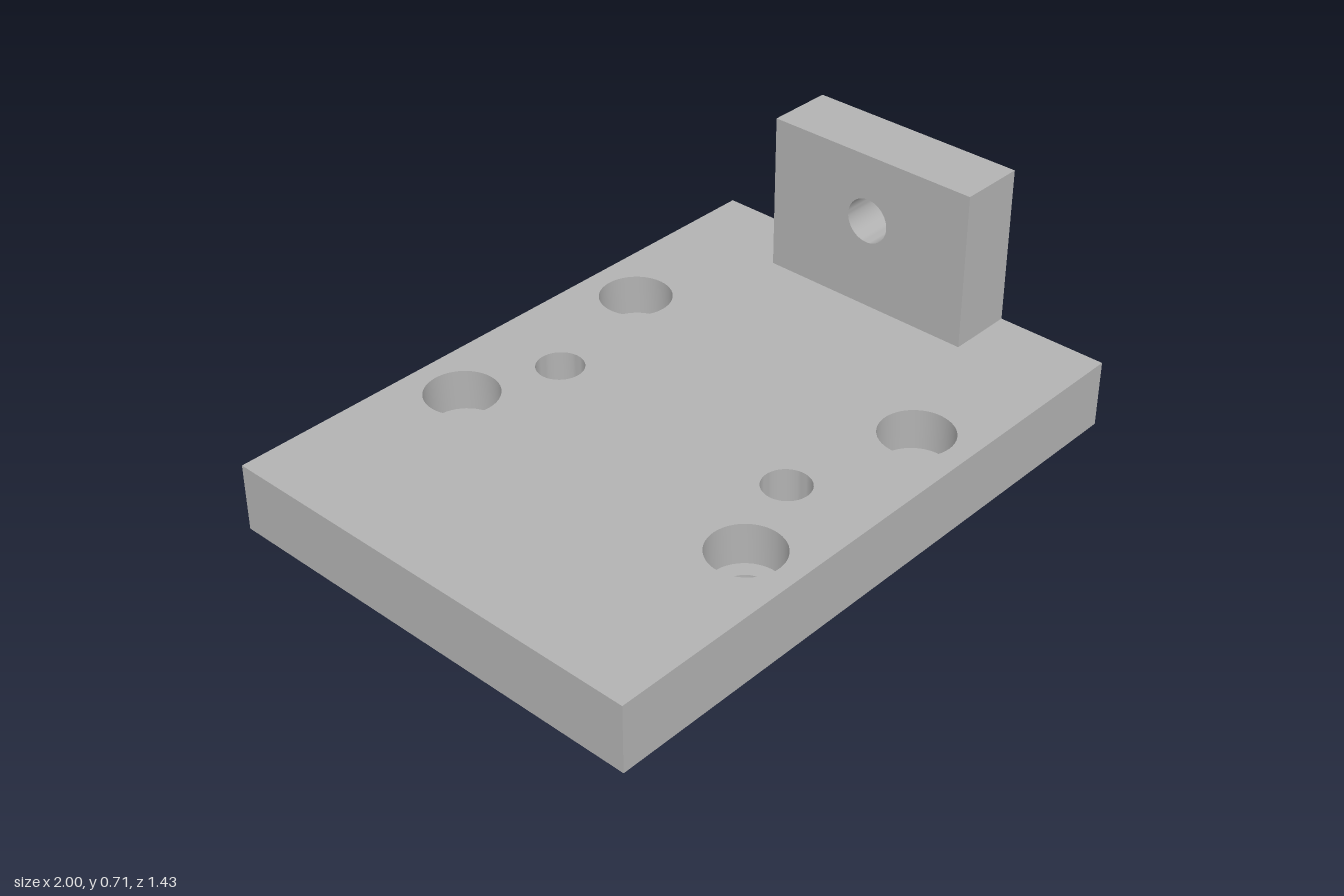
import * as THREE from 'three';
import { toCreasedNormals } from 'three/addons/utils/BufferGeometryUtils.js';

// Plate and lug sizes
const HALF_X = 1, HALF_Z = 0.714, THICK = 0.214;
const LUG_X = 0.786, LUG_HALF_Z = 0.357, LUG_TOP = 0.714;
// Hole sizes; circles in shapes and lathes both get 48 sides
const BOLT_R = 0.0625, BORE_R = 0.112, BORE_DEPTH = 0.13;
const PIN_R = 0.0725, PIN_DEPTH = 0.143, LUG_HOLE_R = 0.0715;
const SIDES = 48;

const boltSpots = [[-0.357, -0.536], [0.357, -0.536], [-0.357, 0.536], [0.357, 0.536]];
const pinSpots = [[-0.071, -0.429], [-0.071, 0.429]];

function addHole(shape, x, y, r) {
  shape.holes.push(new THREE.Path().absarc(x, y, r, 0, Math.PI * 2, true));
}

function rectangle(x0, y0, x1, y1) {
  return new THREE.Shape([[x0, y0], [x1, y0], [x1, y1], [x0, y1]].map(p => new THREE.Vector2(...p)));
}

// Profile runs downwards so the walls face into the hole
function holeLining(profile) {
  const points = profile.map(p => new THREE.Vector2(...p));
  return toCreasedNormals(new THREE.LatheGeometry(points, SIDES), 0.5);
}

export function createModel() {
  const group = new THREE.Group();
  const metal = new THREE.MeshStandardMaterial({ color: 0xb2b2b2 });
  metal.name = 'grey metal';

  function add(name, geometry, x = 0, y = 0, z = 0) {
    const mesh = new THREE.Mesh(geometry, metal);
    mesh.name = name;
    mesh.position.set(x, y, z);
    group.add(mesh);
    return mesh;
  }

  // Plate top with counterbores and pin holes, plate bottom with bolt holes
  const top = rectangle(-HALF_X, -HALF_Z, HALF_X, HALF_Z);
  const bottom = rectangle(-HALF_X, -HALF_Z, HALF_X, HALF_Z);
  for (const [x, z] of boltSpots) {
    addHole(top, x, -z, BORE_R);
    addHole(bottom, x, z, BOLT_R);
  }
  for (const [x, z] of pinSpots) addHole(top, x, -z, PIN_R);
  add('plateTop', new THREE.ShapeGeometry(top, SIDES / 2).rotateX(-Math.PI / 2), 0, THICK, 0);
  add('plateBottom', new THREE.ShapeGeometry(bottom, SIDES / 2).rotateX(Math.PI / 2));

  // Four outer sides of the plate
  for (let i = 0; i < 4; i++) {
    const [half, out] = i % 2 ? [HALF_Z, HALF_X] : [HALF_X, HALF_Z];
    const side = new THREE.PlaneGeometry(half * 2, THICK).translate(0, THICK / 2, out);
    add('plateSide', side.rotateY(i * Math.PI / 2));
  }

  // Stepped bolt holes through the plate
  const seat = THICK - BORE_DEPTH;
  const boltLining = holeLining([[BORE_R, THICK], [BORE_R, seat], [BOLT_R, seat], [BOLT_R, 0]]);
  for (const [x, z] of boltSpots) add('counterboredHole', boltLining, x, 0, z);

  // Blind pin holes
  const floor = THICK - PIN_DEPTH;
  const pinLining = holeLining([[PIN_R, THICK], [PIN_R, floor], [0, floor]]);
  for (const [x, z] of pinSpots) add('pinHole', pinLining, x, 0, z);

  // Upright lug with a cross hole, flush with the plate's end
  const lug = rectangle(-LUG_HALF_Z, THICK, LUG_HALF_Z, LUG_TOP);
  addHole(lug, 0, 0.5, LUG_HOLE_R);
  const lugGeometry = new THREE.ExtrudeGeometry(lug, {
    depth: HALF_X - LUG_X, bevelEnabled: false, curveSegments: SIDES / 2,
  });
  add('uprightLug', toCreasedNormals(lugGeometry.rotateY(Math.PI / 2), 0.5), LUG_X, 0, 0);

  return group;
}
